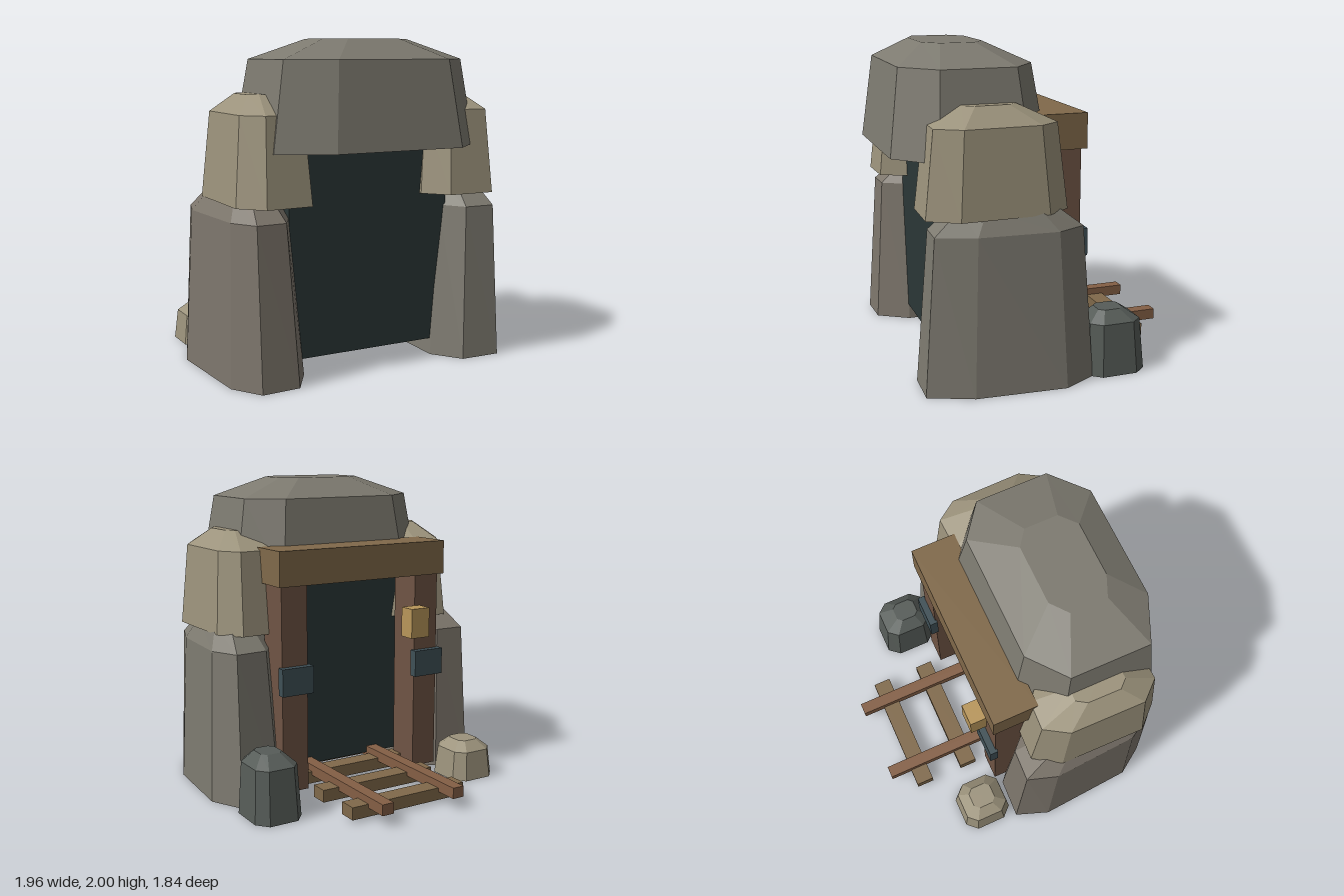
import * as THREE from 'three';

const COLORS = {
  stone: 0x7d7a70, warmStone: 0x7d766c, tan: 0x9c937c, darkStone: 0x565c58,
  post: 0x6f5444, beam: 0x80694a, rail: 0x845f45,
  iron: 0x3f5056, lamp: 0xb8965a, cave: 0x2b3737,
};
const material = (color) => new THREE.MeshStandardMaterial({ color, flatShading: true });

// Box given by its extents on each axis
function box(name, color, [x0, x1], [y0, y1], [z0, z1]) {
  const mesh = new THREE.Mesh(new THREE.BoxGeometry(x1 - x0, y1 - y0, z1 - z0), material(color));
  mesh.position.set((x0 + x1) / 2, (y0 + y1) / 2, (z0 + z1) / 2);
  mesh.name = name;
  return mesh;
}

// Faceted rock: an octagonal outline [x, z] fitted to each level [y, x0, x1, z0, z1]
function rock(name, color, outline, levels) {
  const xs = outline.map((p) => p[0]);
  const zs = outline.map((p) => p[1]);
  const fit = (v, all, a, b) => {
    const lo = Math.min(...all);
    return a + ((v - lo) / (Math.max(...all) - lo)) * (b - a);
  };
  const rings = levels.map(([y, x0, x1, z0, z1]) =>
    outline.map(([x, z]) => [fit(x, xs, x0, x1), y, fit(z, zs, z0, z1)]));
  const middles = levels.map(([y, x0, x1, z0, z1]) => [(x0 + x1) / 2, y, (z0 + z1) / 2]);
  const positions = [];
  const tri = (a, b, c) => positions.push(...a, ...b, ...c);
  const n = outline.length;
  const last = rings.length - 1;
  for (let i = 0; i < n; i++) {
    const j = (i + 1) % n;
    for (let k = 0; k < last; k++) {
      tri(rings[k][i], rings[k + 1][i], rings[k + 1][j]);
      tri(rings[k][i], rings[k + 1][j], rings[k][j]);
    }
    tri(middles[0], rings[0][i], rings[0][j]);
    tri(middles[last], rings[last][j], rings[last][i]);
  }
  const geometry = new THREE.BufferGeometry();
  geometry.setAttribute('position', new THREE.Float32BufferAttribute(positions, 3));
  geometry.computeVertexNormals();
  const mesh = new THREE.Mesh(geometry, material(color));
  mesh.name = name;
  return mesh;
}

export function createModel() {
  const model = new THREE.Group();
  model.name = 'mineEntrance';

  // Lower side rocks
  model.add(rock('rightLowerRock', COLORS.warmStone,
    [[-0.90, -0.20], [-0.64, -0.19], [-0.46, -0.03], [-0.455, 0.62],
      [-0.58, 0.82], [-0.82, 0.83], [-0.94, 0.65], [-0.98, 0.02]],
    [[0, -0.98, -0.455, -0.20, 0.83], [0.96, -0.94, -0.53, -0.14, 0.76],
      [1.10, -0.86, -0.60, 0.04, 0.60]]));
  model.add(rock('leftLowerRock', COLORS.stone,
    [[0.60, -0.19], [0.87, -0.21], [0.98, 0.00], [0.94, 0.56],
      [0.83, 0.83], [0.57, 0.82], [0.44, 0.64], [0.46, -0.02]],
    [[0, 0.44, 0.98, -0.21, 0.83], [0.96, 0.52, 0.935, -0.14, 0.76],
      [1.10, 0.58, 0.86, 0.04, 0.60]]));

  // Upper side rocks
  model.add(rock('rightUpperRock', COLORS.tan,
    [[-0.78, -0.07], [-0.56, -0.06], [-0.40, 0.08], [-0.395, 0.60],
      [-0.48, 0.79], [-0.77, 0.80], [-0.90, 0.66], [-0.89, 0.10]],
    [[1.05, -0.90, -0.395, -0.07, 0.80], [1.57, -0.855, -0.437, -0.01, 0.74],
      [1.68, -0.75, -0.56, 0.22, 0.55]]));
  model.add(rock('leftUpperRock', COLORS.tan,
    [[0.52, -0.06], [0.77, -0.07], [0.88, 0.08], [0.89, 0.62],
      [0.78, 0.80], [0.475, 0.79], [0.355, 0.64], [0.37, 0.08]],
    [[1.05, 0.355, 0.89, -0.07, 0.80], [1.57, 0.40, 0.85, -0.01, 0.74],
      [1.68, 0.52, 0.72, 0.22, 0.55]]));

  // Capstone across the top
  model.add(rock('capRock', COLORS.stone,
    [[-0.45, -0.05], [0.47, -0.05], [0.71, 0.14], [0.71, 0.69],
      [0.46, 0.92], [-0.39, 0.92], [-0.715, 0.77], [-0.71, 0.17]],
    [[1.355, -0.715, 0.71, -0.05, 0.92], [1.88, -0.63, 0.62, 0.03, 0.85],
      [2.0, -0.31, 0.28, 0.27, 0.65]]));

  // Small boulders beside the track
  const boulderOutline = [[-0.6, -1], [0.6, -1], [1, -0.6], [1, 0.6],
    [0.6, 1], [-0.6, 1], [-1, 0.6], [-1, -0.6]];
  model.add(rock('leftBoulder', COLORS.darkStone, boulderOutline,
    [[0, 0.605, 0.92, -0.56, -0.185], [0.33, 0.62, 0.90, -0.53, -0.20],
      [0.40, 0.69, 0.83, -0.43, -0.27]]));
  model.add(rock('rightBoulder', COLORS.tan, boulderOutline,
    [[0, -0.88, -0.555, -0.56, -0.22], [0.19, -0.86, -0.575, -0.54, -0.24],
      [0.25, -0.79, -0.64, -0.47, -0.31]]));

  // Dark tunnel interior
  model.add(box('tunnelDarkness', COLORS.cave, [-0.55, 0.55], [0.10, 1.50], [0.06, 0.62]));

  // Timber frame with iron brackets
  model.add(box('lintel', COLORS.beam, [-0.62, 0.615], [1.37, 1.59], [-0.26, 0.03]));
  for (const side of [-1, 1]) {
    const span = (a, b) => (side > 0 ? [a, b] : [-b, -a]);
    const label = side > 0 ? 'left' : 'right';
    model.add(box(label + 'Post', COLORS.post, span(0.41, 0.59), [0.05, 1.38], [-0.23, 0]));
    model.add(box(label + 'Bracket', COLORS.iron, span(0.39, 0.61), [0.69, 0.865], [-0.275, -0.22]));
    model.add(box(label + 'Rail', COLORS.rail, span(0.222, 0.302), [0.075, 0.145], [-0.92, 0.50]));
  }

  // Lantern on the right post
  model.add(box('lantern', COLORS.lamp, [-0.45, -0.31], [0.97, 1.165], [-0.34, -0.225]));

  // Track sleepers
  for (let i = 0; i < 4; i++) {
    const z = -0.71 + i * 0.34;
    model.add(box('sleeper' + (i + 1), COLORS.beam, [-0.42, 0.415], [0.02, 0.10], [z - 0.06, z + 0.06]));
  }
  return model;
}
